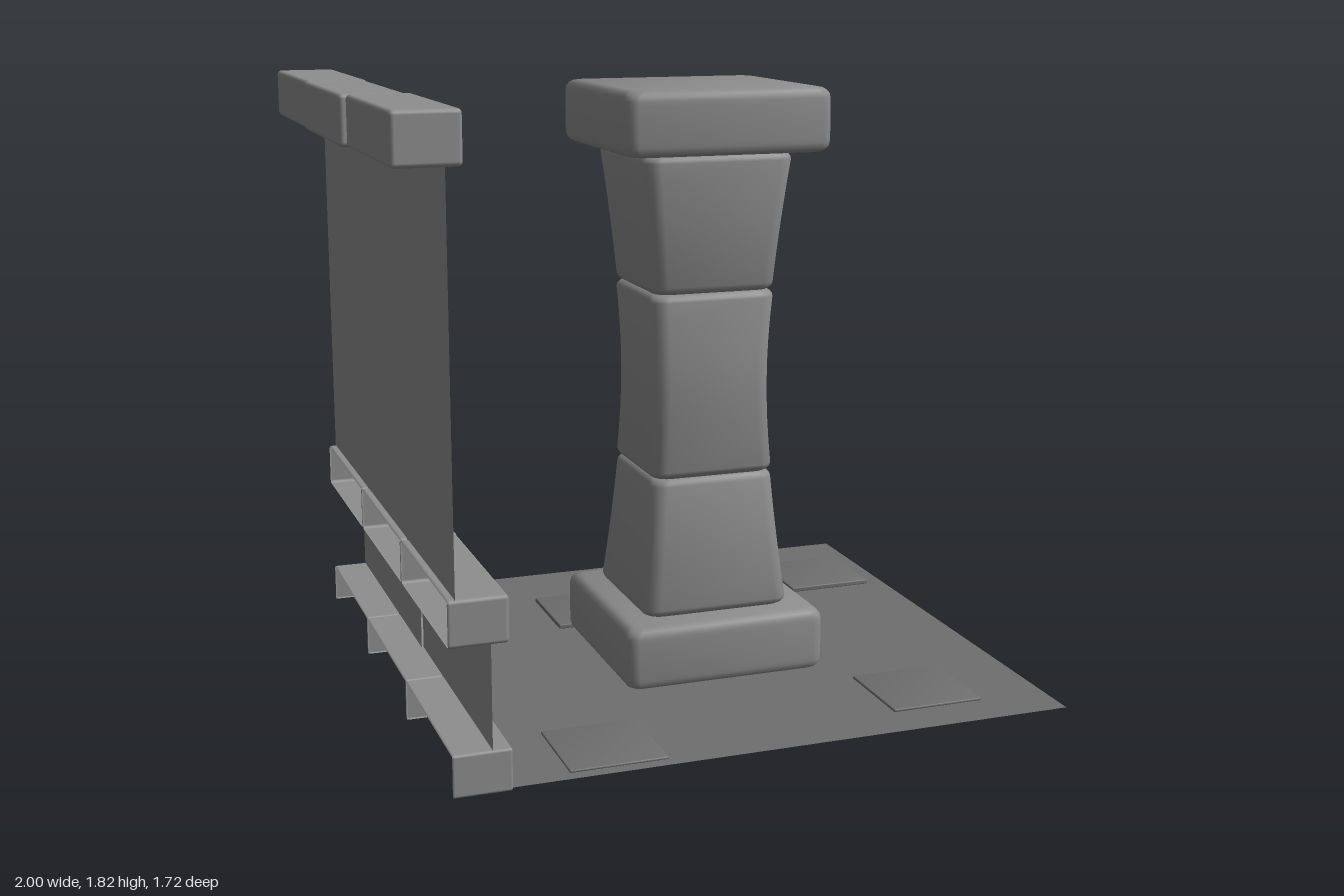
import * as THREE from 'three';
import { RoundedBoxGeometry } from 'three/addons/geometries/RoundedBoxGeometry.js';

const paint = (color) => new THREE.MeshStandardMaterial({ color, side: THREE.DoubleSide });
const wallGrey = paint(0x8e8e8e);
const pillarGrey = paint(0x8c8c8c);
const floorGrey = paint(0x6f6f6f);
const NX = 1, NY = 3; // side order of a box: +x, -x, +y, -y, +z, -z

function add(parent, name, geometry, material) {
  const mesh = new THREE.Mesh(geometry, material);
  mesh.name = name;
  parent.add(mesh);
}

function addGroup(parent, name) {
  const group = new THREE.Group();
  group.name = name;
  parent.add(group);
  return group;
}

// Leans the normals away from the centre, so flat sides shade like worn stone
function soften(geo, amount) {
  geo.computeBoundingBox();
  const centre = geo.boundingBox.getCenter(new THREE.Vector3());
  const { position, normal } = geo.attributes;
  const n = new THREE.Vector3(), out = new THREE.Vector3();
  for (let i = 0; i < position.count; i++) {
    out.fromBufferAttribute(position, i).sub(centre).normalize();
    n.fromBufferAttribute(normal, i).addScaledVector(out, amount).normalize();
    normal.setXYZ(i, n.x, n.y, n.z);
  }
  return geo;
}

// Bevelled block between two corners; listed sides are left open
function block(min, max, bevel, open = []) {
  const size = max.map((v, i) => v - min[i]);
  const geo = new RoundedBoxGeometry(...size, 2, bevel);
  const perSide = geo.attributes.position.count / 6;
  const result = new THREE.BufferGeometry();
  for (const key of ['position', 'normal']) {
    const source = geo.attributes[key].array;
    const kept = [];
    for (let side = 0; side < 6; side++) {
      if (open.includes(side)) continue;
      for (let i = side * perSide * 3; i < (side + 1) * perSide * 3; i++) kept.push(source[i]);
    }
    result.setAttribute(key, new THREE.Float32BufferAttribute(kept, 3));
  }
  return result.translate(...max.map((v, i) => (v + min[i]) / 2));
}

// Rounded-square rings stacked along a profile of [half width, height]
function squareLoft(profile, radius) {
  const arc = 5, ring = 4 * (arc + 1);
  const positions = [], indices = [];
  for (const [half, y] of profile) {
    const r = Math.min(radius, half);
    for (let c = 0; c < 4; c++) {
      const mid = Math.PI / 4 + c * Math.PI / 2;
      for (let k = 0; k <= arc; k++) {
        const a = c * Math.PI / 2 + (k / arc) * Math.PI / 2;
        positions.push(
          Math.sign(Math.cos(mid)) * (half - r) + Math.cos(a) * r, y,
          Math.sign(Math.sin(mid)) * (half - r) + Math.sin(a) * r);
      }
    }
  }
  for (let j = 0; j < profile.length - 1; j++) {
    for (let i = 0; i < ring; i++) {
      const a = j * ring + i, b = j * ring + (i + 1) % ring;
      indices.push(a, a + ring, b, b, a + ring, b + ring);
    }
  }
  const geo = new THREE.BufferGeometry();
  geo.setAttribute('position', new THREE.Float32BufferAttribute(positions, 3));
  geo.setIndex(indices);
  geo.computeVertexNormals();
  return soften(geo, 0.3);
}

// Soft stone: side widths run from bottom to middle to top, with rounded rims
function stone(bottom, top, widths, rim, radius) {
  const [w0, w1, w2] = widths;
  const profile = [[0.001, bottom], [(w0 - rim) * 0.95, bottom]];
  const steps = 4;
  for (let i = 0; i <= steps; i++) {
    const a = (i / steps) * Math.PI / 2;
    profile.push([w0 - rim + Math.sin(a) * rim, bottom + rim - Math.cos(a) * rim]);
  }
  for (let i = 1; i < 8; i++) {
    const t = i / 8;
    const w = w0 * (1 - t) * (1 - 2 * t) + 4 * w1 * t * (1 - t) + w2 * t * (2 * t - 1);
    profile.push([w, bottom + rim + t * (top - bottom - 2 * rim)]);
  }
  for (let i = 0; i <= steps; i++) {
    const a = (i / steps) * Math.PI / 2;
    profile.push([w2 - rim + Math.cos(a) * rim, top - rim + Math.sin(a) * rim]);
  }
  profile.push([(w2 - rim) * 0.95, top], [0.001, top]);
  return squareLoft(profile, radius);
}

// Upright panel facing +x
function panel(x, y0, y1, z0, z1) {
  return new THREE.PlaneGeometry(z1 - z0, y1 - y0)
    .rotateY(Math.PI / 2).translate(x, (y0 + y1) / 2, (z0 + z1) / 2);
}

export function createModel() {
  const model = new THREE.Group();
  model.name = 'pillarAndWall';

  // Floor with raised tiles: [x, z, top]
  const floor = addGroup(model, 'floor');
  const slab = new THREE.PlaneGeometry(1.72, 1.72).rotateX(-Math.PI / 2).translate(0.14, 0.01, 0);
  add(floor, 'floorSlab', slab, floorGrey);
  const tiles = [[-0.082, -0.427, 0.026], [0.794, -0.517, 0.027], [-0.384, 0.682, 0.019], [0.643, 0.586, 0.02]];
  for (const [x, z, top] of tiles) {
    const tile = block([x - 0.144, 0.011, z - 0.145], [x + 0.144, top, z + 0.145], 0.004, [NY]);
    add(floor, 'floorTile', soften(tile, 0.2), floorGrey);
  }

  // Pillar of five stacked stones
  const pillar = addGroup(model, 'pillar');
  pillar.position.x = 0.135;
  const stones = [
    ['pillarBase', 0.005, 0.2, [0.32, 0.321, 0.32], 0.03, 0.035],
    ['lowerShaft', 0.2, 0.628, [0.236, 0.215, 0.198], 0.024, 0.045],
    ['middleShaft', 0.625, 1.197, [0.198, 0.187, 0.198], 0.024, 0.045],
    ['upperShaft', 1.195, 1.618, [0.198, 0.215, 0.236], 0.024, 0.045],
    ['pillarCap', 1.62, 1.812, [0.32, 0.321, 0.32], 0.03, 0.035],
  ];
  for (const [name, ...shape] of stones) add(pillar, name, stone(...shape), pillarGrey);

  // Wall panels
  const wall = addGroup(model, 'wall');
  add(wall, 'upperWall', panel(-0.845, 0.53, 1.72, -0.86, 0.86), wallGrey);
  add(wall, 'lowerWallFront', panel(-0.751, 0.08, 0.46, 0.03, 0.86), wallGrey);
  add(wall, 'lowerWallBack', panel(-0.757, 0.08, 0.46, -0.86, 0.03), wallGrey);

  // Raised wall bricks: [z, y]
  const bricks = [
    [0.66, 1.508], [0.13, 1.54], [-0.685, 1.537], [0.34, 1.149], [-0.29, 1.188],
    [-0.71, 1.219], [0.7, 0.986], [-0.39, 0.827], [0.195, 0.738],
  ];
  for (const [z, y] of bricks) {
    const brick = block([-0.845, y - 0.058, z - 0.1], [-0.834, y + 0.058, z + 0.1], 0.005, [NX]);
    add(wall, 'wallBrick', soften(brick, 0.2), wallGrey);
  }

  // Three rows of long stones along the wall
  const spans = [[-0.862, -0.294], [-0.29, 0.282], [0.286, 0.862]];
  const copingShift = [0.005, -0.003, 0.014];
  const ledgeShift = [-0.002, 0.003, 0.001];
  spans.forEach(([z0, z1], i) => {
    const c = copingShift[i], l = ledgeShift[i];
    add(wall, 'copingStone', block([-0.997 + c, 1.678, z0], [-0.811 + c, 1.823, z1], 0.013), wallGrey);
    add(wall, 'ledgeStone', block([-0.87, 0.42, z0], [-0.7 + l, 0.553, z1], 0.011, [NX]), wallGrey);
    add(wall, 'plinthStone', block([-0.865, 0, z0], [-0.697 + l, 0.123, z1], 0.008, [NX, NY]), wallGrey);
  });

  return model;
}
